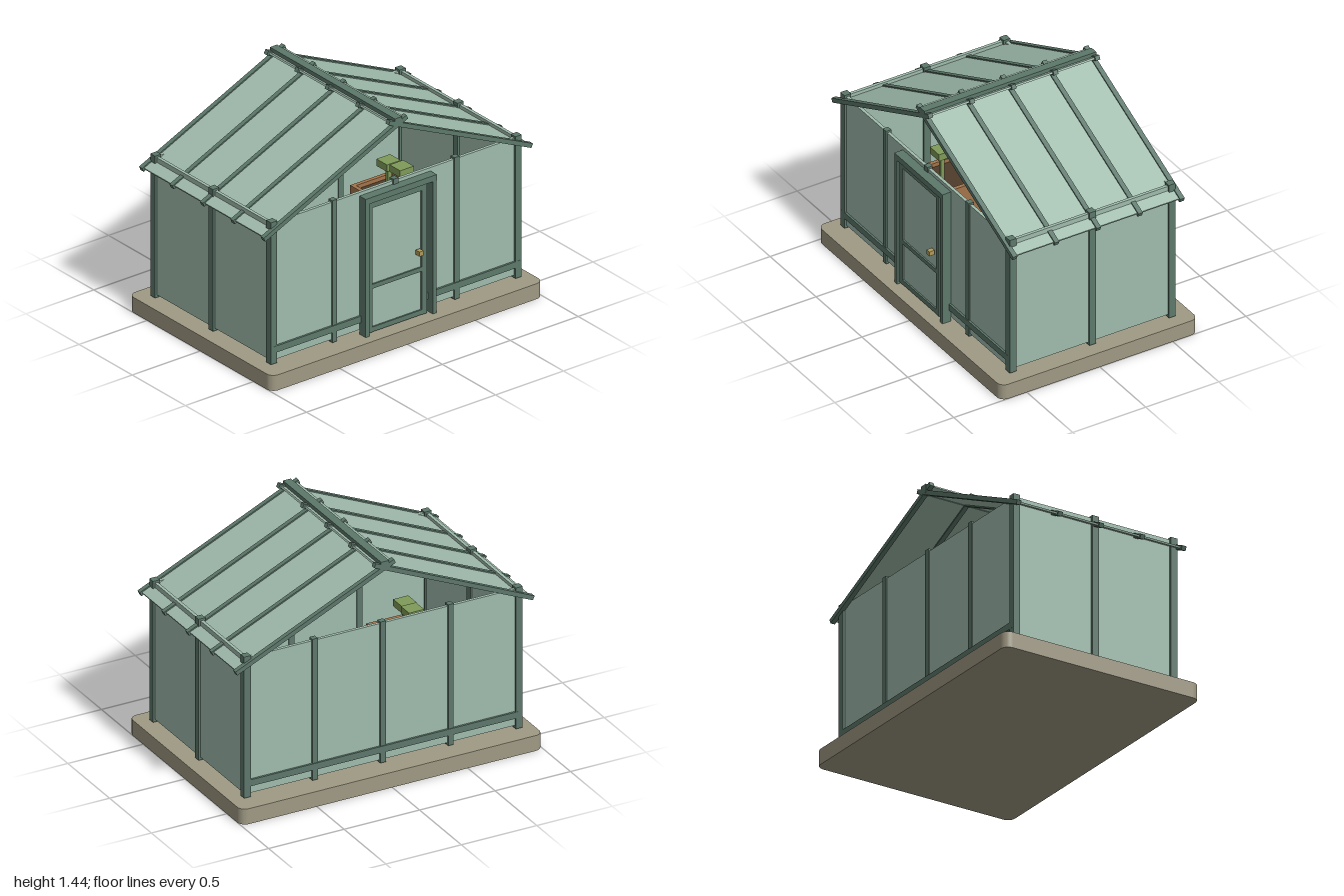
import * as THREE from 'three';

const mat = (color) => new THREE.MeshStandardMaterial({ color });
const FRAME = mat(0x5d786b), GLASS = mat(0xa0bcad), STONE = mat(0xa09a84);
const WOOD = mat(0xa4744a), SOIL = mat(0x4f3b2a), LEAF = mat(0x7f9a58), BRASS = mat(0xb09a5a);

export function createModel() {
  const root = new THREE.Group();
  const group = (name) => {
    const g = new THREE.Group();
    g.name = name;
    root.add(g);
    return g;
  };
  // Box given by its lower and upper limits on each axis
  const box = (parent, name, material, [x0, x1], [y0, y1], [z0, z1]) => {
    const m = new THREE.Mesh(new THREE.BoxGeometry(x1 - x0, y1 - y0, z1 - z0), material);
    m.position.set((x0 + x1) / 2, (y0 + y1) / 2, (z0 + z1) / 2);
    m.name = name;
    parent.add(m);
    return m;
  };
  const around = (c, size) => [c - size / 2, c + size / 2];

  // Slab with rounded corners
  const W = 1, D = 0.675, R = 0.05;
  const outline = new THREE.Shape();
  outline.absarc(W - R, D - R, R, 0, Math.PI / 2);
  outline.absarc(R - W, D - R, R, Math.PI / 2, Math.PI);
  outline.absarc(R - W, R - D, R, Math.PI, Math.PI * 1.5);
  outline.absarc(W - R, R - D, R, Math.PI * 1.5, Math.PI * 2);
  const slab = new THREE.Mesh(
    new THREE.ExtrudeGeometry(outline, { depth: 0.1, bevelEnabled: false, curveSegments: 6 }), STONE);
  slab.rotation.x = -Math.PI / 2;
  slab.name = 'baseSlab';
  root.add(slab);

  // Glass walls, posts and sill rails
  const walls = group('walls'), posts = group('posts');
  const postY = [0.112, 1.033];
  for (const s of [-1, 1]) {
    box(walls, 'sideGlass', GLASS, around(s * 0.9, 0.02), [0.13, 1.02], [-0.545, 0.545]);
    box(walls, 'endGlass', GLASS, [-0.9, 0.9], [0.13, 1.02], around(s * 0.545, 0.02));
    box(walls, 'sillRail', FRAME, [-0.913, 0.913], [0.18, 0.222], around(s * 0.55, 0.036));
    for (const z of [-0.545, 0, 0.545])
      box(posts, 'sidePost', FRAME, around(s * 0.9, 0.045), postY, around(z, 0.045));
    for (const x of [-0.45, 0, 0.45])
      box(posts, 'endPost', FRAME, around(x, 0.036), postY, around(s * 0.545, 0.036));
  }

  // Roof: the slopes overrun and cross at the ridge
  const low = new THREE.Vector2(0.985, 0.949), high = new THREE.Vector2(-0.066, 1.423);
  const length = low.distanceTo(high);
  const slope = Math.atan2(high.y - low.y, low.x - high.x);
  for (const s of [-1, 1]) {
    const side = group(s > 0 ? 'leftRoof' : 'rightRoof');
    side.position.set(s * (low.x + high.x) / 2, (low.y + high.y) / 2, 0);
    side.rotation.z = -s * slope;
    const half = length / 2;
    box(side, 'roofGlass', GLASS, [-half + 0.012, half - 0.012], [-0.006, 0.006], [-0.572, 0.572]);
    for (let i = -2; i <= 2; i++)
      box(side, 'rafter', FRAME, [-half, half], [-0.014, 0.014], around(i * 0.286, 0.03));
  }
  box(root, 'ridgeBeam', FRAME, [-0.026, 0.026], [1.382, 1.437], [-0.588, 0.588]);

  // Door with frame, leaf and knob
  const door = group('door');
  for (const s of [-1, 1])
    box(door, 'jamb', FRAME, around(s * 0.247, 0.027), [0.1, 0.97], [0.555, 0.612]);
  box(door, 'header', FRAME, [-0.262, 0.262], [0.96, 0.998], [0.555, 0.614]);
  box(door, 'doorPane', GLASS, [-0.21, 0.18], [0.13, 0.94], [0.574, 0.586]);
  box(door, 'stile', FRAME, [-0.235, -0.2], [0.112, 0.95], [0.565, 0.598]);
  box(door, 'stile', FRAME, [0.165, 0.2], [0.112, 0.95], [0.565, 0.598]);
  for (const [y0, y1] of [[0.112, 0.143], [0.392, 0.42], [0.916, 0.95]])
    box(door, 'doorRail', FRAME, [-0.2, 0.165], [y0, y1], [0.567, 0.596]);
  box(door, 'knob', BRASS, around(0.135, 0.03), around(0.53, 0.03), [0.596, 0.632]);

  // Floor path between the beds
  box(root, 'path', STONE, [-0.17, 0.16], [0.1, 0.11], [-0.5, 0.5]);

  // Raised beds with feet, soil and plants
  for (const s of [-1, 1]) {
    const bed = group(s > 0 ? 'leftBed' : 'rightBed');
    bed.position.x = s * 0.592;
    bed.rotation.y = s > 0 ? Math.PI : 0;
    for (const e of [-1, 1]) {
      box(bed, 'bedSide', WOOD, around(e * 0.147, 0.025), [0.113, 0.465], [-0.42, 0.42]);
      box(bed, 'bedEnd', WOOD, [-0.135, 0.135], [0.113, 0.465], around(e * 0.407, 0.025));
      for (const z of [-0.31, 0.31])
        box(bed, 'foot', SOIL, around(e * 0.05, 0.05), [0.1, 0.115], around(z, 0.13));
    }
    box(bed, 'soil', SOIL, [-0.136, 0.136], [0.114, 0.44], [-0.396, 0.396]);
    [[-0.3, 0.68], [-0.1, 0.65], [0.1, 0.68], [0.3, 0.62]].forEach(([z, top], i) => {
      const x = i % 2 ? -0.03 : 0.03;
      box(bed, 'stem', LEAF, around(x, 0.025), [0.43, top - 0.03], around(z, 0.025));
      box(bed, 'leaves', LEAF, around(x, 0.1), [top - 0.045, top], around(z, 0.1));
    });
  }
  return root;
}
